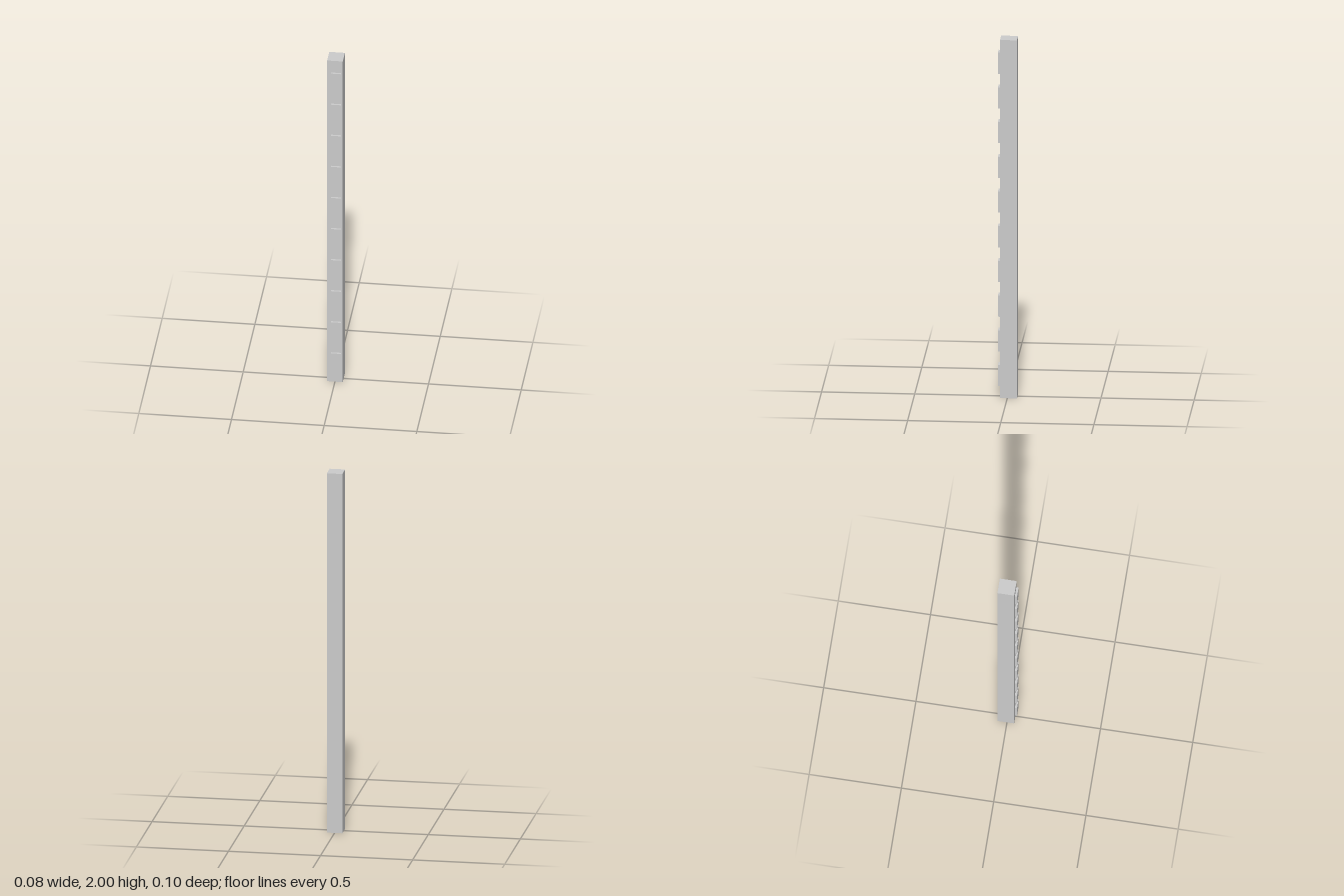
import * as THREE from 'three';

export function createModel() {
  const group = new THREE.Group();
  const material = new THREE.MeshStandardMaterial({ color: 0xcccccc, flatShading: true });

  // Box given by its lower and upper corners
  function addBox(name, min, max) {
    const size = max.map((v, i) => v - min[i]);
    const mesh = new THREE.Mesh(new THREE.BoxGeometry(...size), material);
    mesh.position.set(...max.map((v, i) => (v + min[i]) / 2));
    mesh.name = name;
    group.add(mesh);
  }

  // Square post
  const postFront = 0.039;
  addBox('post', [-0.042, 0, -0.052], [0.042, 2, postFront]);

  // Column of raised panels on the front, set slightly off centre
  const count = 10, firstY = 0.123, lastY = 1.868, halfHeight = 0.059;
  for (let i = 0; i < count; i++) {
    const y = firstY + ((lastY - firstY) * i) / (count - 1);
    addBox(`raisedPanel${i + 1}`, [-0.02, y - halfHeight, postFront - 0.005], [0.034, y + halfHeight, 0.051]);
  }
  return group;
}
